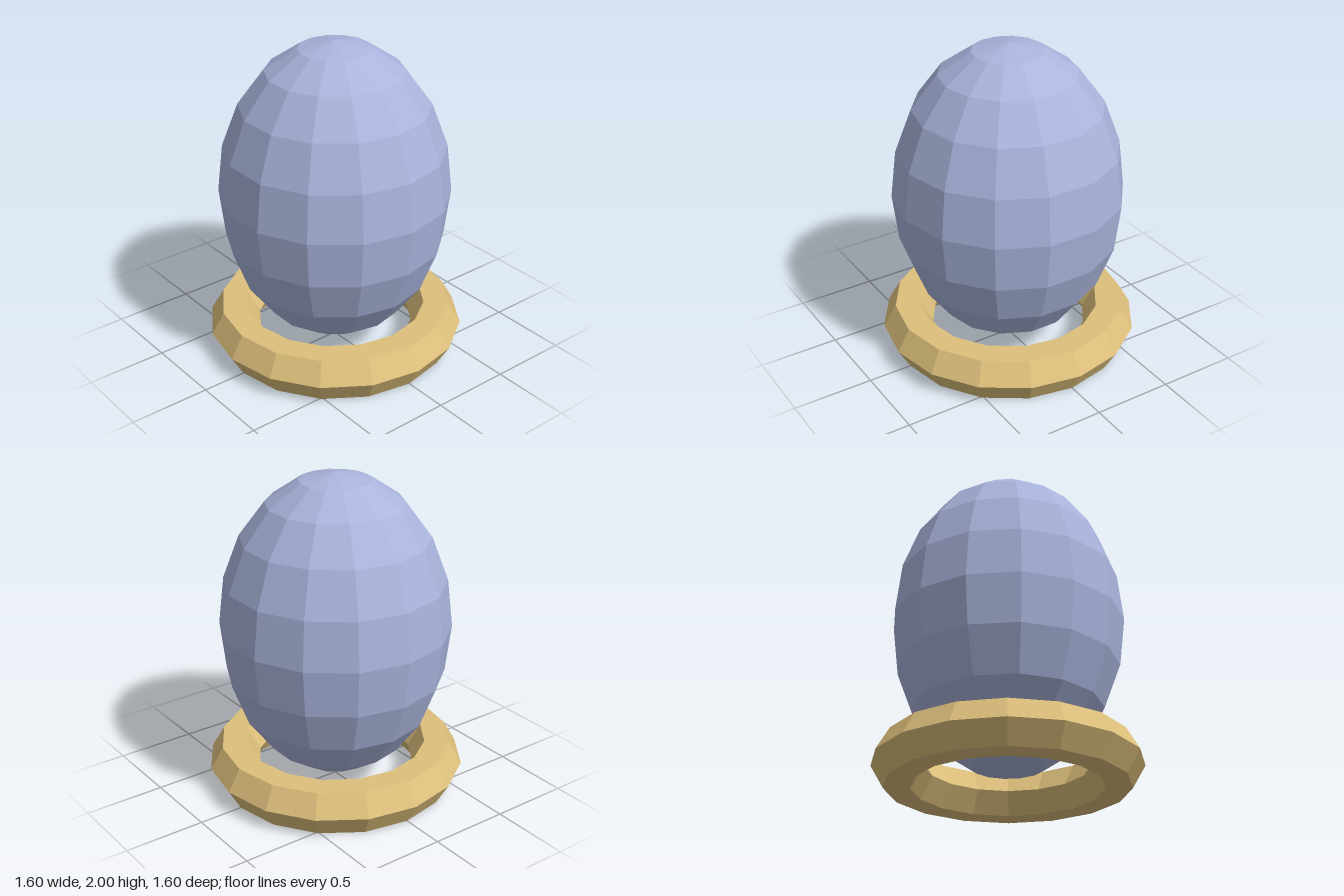
import * as THREE from 'three';

export function createModel() {
  const model = new THREE.Group();
  const shellBlue = new THREE.MeshStandardMaterial({ color: 0xaab4dc, flatShading: true });
  shellBlue.name = 'shellBlue';
  const gold = new THREE.MeshStandardMaterial({ color: 0xdec07c, flatShading: true });
  gold.name = 'gold';

  // Egg: faceted ellipsoid with a vertex column facing front and back
  const eggGeometry = new THREE.SphereGeometry(1, 14, 10);
  eggGeometry.rotateY(Math.PI / 2);
  eggGeometry.scale(0.71, 0.96, 0.71);
  const egg = new THREE.Mesh(eggGeometry, shellBlue);
  egg.name = 'egg';
  egg.position.y = 1.04;
  model.add(egg);

  // Stand: flat ring with a hexagonal section
  const tube = 0.157;
  const standGeometry = new THREE.TorusGeometry(0.8 - tube, tube, 6, 16);
  standGeometry.rotateX(-Math.PI / 2);
  const stand = new THREE.Mesh(standGeometry, gold);
  stand.name = 'standRing';
  stand.position.y = tube * Math.sin(Math.PI / 3);
  model.add(stand);

  return model;
}
